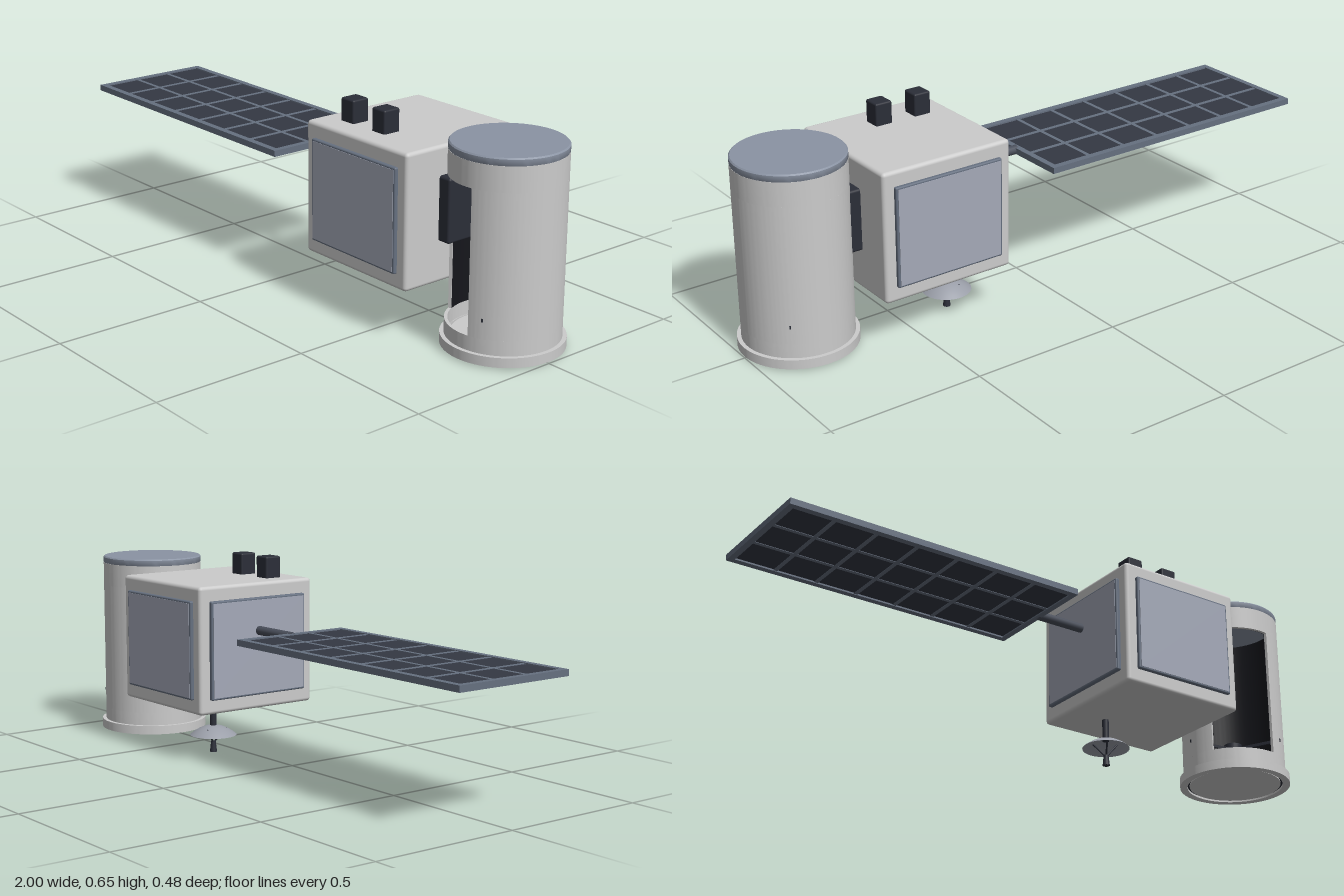
import * as THREE from 'three';
import { RoundedBoxGeometry } from 'three/addons/geometries/RoundedBoxGeometry.js';
import { toCreasedNormals } from 'three/addons/utils/BufferGeometryUtils.js';

const paint = (color, side = THREE.FrontSide) => new THREE.MeshStandardMaterial({ color, side });
const RAD = Math.PI / 180;

export function createModel() {
  const model = new THREE.Group();
  const grey = paint(0xcccccc);
  const plate = paint(0xa4a9b8);
  const steel = paint(0x8a93a3);
  const frame = paint(0x667080);
  const cell = paint(0x343843);
  const dark = paint(0x2b2e38);
  const liner = paint(0x15161b, THREE.DoubleSide);
  const dishGrey = paint(0x9a9ea8, THREE.DoubleSide);

  const add = (parent, name, geometry, material, x = 0, y = 0, z = 0) => {
    const mesh = new THREE.Mesh(geometry, material);
    mesh.name = name;
    mesh.position.set(x, y, z);
    parent.add(mesh);
    return mesh;
  };
  const group = (name, x = 0, y = 0, z = 0) => {
    const g = new THREE.Group();
    g.name = name;
    g.position.set(x, y, z);
    model.add(g);
    return g;
  };
  const box = (w, h, d) => new THREE.BoxGeometry(w, h, d);
  const rounded = (w, h, d, r) => new RoundedBoxGeometry(w, h, d, 3, r);
  const rod = (parent, name, from, to, r, material) => {
    const a = new THREE.Vector3(...from), b = new THREE.Vector3(...to);
    const mesh = add(parent, name, new THREE.CylinderGeometry(r, r, a.distanceTo(b), 16), material);
    mesh.position.copy(a).add(b).multiplyScalar(0.5);
    mesh.quaternion.setFromUnitVectors(new THREE.Vector3(0, 1, 0), b.sub(a).normalize());
  };

  // Main body with raised plates on three sides
  const body = group('body', 0.415, 0.37, 0);
  add(body, 'bodyShell', rounded(0.45, 0.42, 0.455, 0.012), grey);
  for (const s of [1, -1]) {
    add(body, 'sidePlate', rounded(0.376, 0.324, 0.02, 0.005), frame, 0, 0, s * 0.229);
    add(body, 'sidePlateFace', box(0.362, 0.31, 0.004), plate, 0, 0, s * 0.2385);
  }
  add(body, 'endPlate', rounded(0.02, 0.324, 0.38, 0.005), frame, -0.228, 0, 0);
  add(body, 'endPlateFace', box(0.004, 0.31, 0.366), plate, -0.2375, 0, 0);

  // Two sensor blocks on the roof
  for (const x of [0.29, 0.43]) {
    add(model, 'sensorBlock', rounded(0.058, 0.08, 0.06, 0.006), dark, x, 0.612, 0.123);
  }

  // Solar wing: boom, frame bars and cells
  const wing = group('solarWing', 0, 0.423, 0);
  rod(wing, 'boom', [0, 0, 0], [0.19, 0, 0], 0.015, paint(0x4a4f5b));
  const colPitch = 0.14, rowPitch = 0.128, midX = -0.495;
  for (const s of [1, -1]) {
    add(wing, 'longFrameBar', box(1.01, 0.02, 0.021), frame, midX, 0, s * 0.2);
    add(wing, 'endFrameBar', box(0.02, 0.02, 0.42), frame, midX + s * 0.495, 0, 0);
    add(wing, 'rowDivider', box(0.99, 0.016, 0.013), frame, midX, 0, s * rowPitch / 2);
  }
  for (let i = 0; i < 6; i++) {
    add(wing, 'columnDivider', box(0.013, 0.016, 0.4), frame, midX + (i - 2.5) * colPitch, 0, 0);
  }
  for (let i = 0; i < 7; i++) {
    for (let j = -1; j <= 1; j++) {
      add(wing, 'solarCell', box(0.128, 0.013, 0.116), cell, midX + (i - 3) * colPitch, 0, j * rowPitch);
    }
  }

  // Telescope barrel with a doorway facing the front and the body
  const tube = group('telescope', 0.815, 0, 0);
  const arcWall = (rOut, rIn, a0, a1, height) => {
    const shape = new THREE.Shape();
    shape.absarc(0, 0, rOut, a0 * RAD, a1 * RAD, false);
    shape.absarc(0, 0, rIn, a1 * RAD, a0 * RAD, true);
    const g = new THREE.ExtrudeGeometry(shape, { depth: height, bevelEnabled: false, curveSegments: 64 });
    g.rotateX(-Math.PI / 2);
    return toCreasedNormals(g, 0.6);
  };
  const doorStart = -81, doorEnd = 205;
  add(tube, 'lowerBarrel', arcWall(0.172, 0.162, 0, 360, 0.045), grey, 0, 0.035, 0);
  add(tube, 'openBarrel', arcWall(0.172, 0.162, doorStart, doorEnd, 0.44), grey, 0, 0.08, 0);
  add(tube, 'upperBarrel', arcWall(0.172, 0.162, 0, 360, 0.077), grey, 0, 0.52, 0);
  add(tube, 'barrelLining', new THREE.CylinderGeometry(0.161, 0.161, 0.44, 48, 1, true,
    (90 + doorStart) * RAD - 0, (doorEnd - doorStart) * RAD), liner, 0, 0.3, 0);
  add(tube, 'upperLining', new THREE.CylinderGeometry(0.161, 0.161, 0.075, 48, 1, true), liner, 0, 0.557, 0);

  // Lid, base flange and floor
  const lid = [[0, 0], [0.17, 0], [0.172, 0.003], [0.172, 0.021], [0.168, 0.025], [0, 0.025]];
  add(tube, 'lid', toCreasedNormals(new THREE.LatheGeometry(
    lid.map(p => new THREE.Vector2(...p)), 64), 0.6), steel, 0, 0.595, 0);
  add(tube, 'baseFlange', arcWall(0.185, 0.16, 0, 360, 0.03), grey, 0, 0.005, 0);
  add(tube, 'floorRim', new THREE.CylinderGeometry(0.162, 0.162, 0.012, 64), dark, 0, 0.018, 0);
  add(tube, 'floor', new THREE.CylinderGeometry(0.153, 0.153, 0.028, 64), grey, 0, 0.022, 0);

  // Three radial vanes holding a small hub
  add(tube, 'vaneHub', new THREE.CylinderGeometry(0.03, 0.03, 0.03, 24), dark, 0, 0.137, 0);
  for (let i = 0; i < 3; i++) {
    const a = (66 + i * 120) * RAD;
    const vane = add(tube, 'vane', box(0.174, 0.01, 0.005), dark, 0.087 * Math.cos(a), 0.137, 0.087 * Math.sin(a));
    vane.rotation.y = -a;
  }

  // Bracket joining barrel and body
  add(model, 'bracket', rounded(0.055, 0.2, 0.2, 0.008), dark, 0.655, 0.39, 0);

  // Dish antenna under the body
  const antenna = group('antenna', 0.33, 0, -0.08);
  rod(antenna, 'antennaMast', [0, 0.085, 0], [0, 0.165, 0], 0.011, dark);
  const bowl = [];
  for (let i = 0; i <= 8; i++) {
    const r = 0.078 * i / 8;
    bowl.push(new THREE.Vector2(r, 0.092 - 0.033 * (i / 8) ** 2));
  }
  add(antenna, 'dish', new THREE.LatheGeometry(bowl, 40), dishGrey);
  add(antenna, 'feedHorn', new THREE.CylinderGeometry(0.008, 0.012, 0.036, 20), dark, 0, 0.018, 0);
  for (let i = 0; i < 3; i++) {
    const a = i * 120 * RAD;
    rod(antenna, 'feedStrut', [0.045 * Math.cos(a), 0.081, 0.045 * Math.sin(a)], [0, 0.03, 0], 0.003, dark);
  }
  return model;
}
